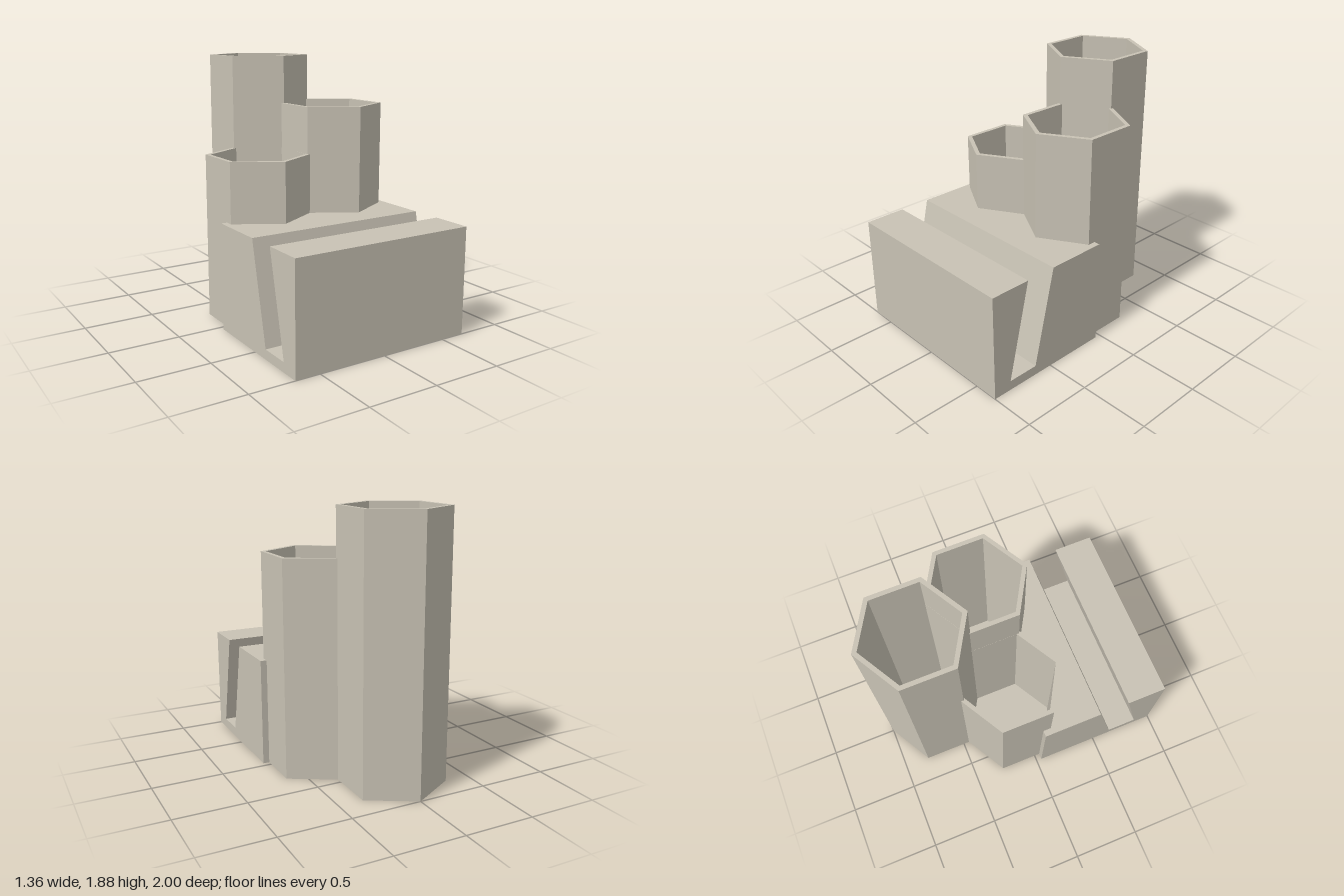
import * as THREE from 'three';

const WALL_R = 0.375;   // outer corner radius of a hexagonal tube
const INNER_R = 0.34;   // inner corner radius
const FLOOR = 0.04;
const BLOCK_H = 0.77;
const HALF_W = 0.68;
const SPLIT_Z = 0.3;    // where the notched rear meets the slotted front

// Six corners of a hexagon pointing along z
function hexPoints(r) {
  return Array.from({ length: 6 }, (_, i) => {
    const a = Math.PI / 2 + i * Math.PI / 3;
    return new THREE.Vector2(r * Math.cos(a), r * Math.sin(a));
  });
}

// Extrudes a plan shape (x, -z) upwards
function extrudeUp(shape, height) {
  return new THREE.ExtrudeGeometry(shape, { depth: height, bevelEnabled: false }).rotateX(-Math.PI / 2);
}

export function createModel() {
  const group = new THREE.Group();
  const stone = new THREE.MeshStandardMaterial({ color: 0xc8c2b4 });
  stone.name = 'warm grey';

  function add(name, geometry, parent = group) {
    const mesh = new THREE.Mesh(geometry, stone);
    mesh.name = name;
    parent.add(mesh);
    return mesh;
  }

  // Hexagonal pen tubes, open at the top
  const tubes = [
    ['tallTube', 0, -0.625, 1.88],
    ['middleTube', 0.31, -0.09, 1.535],
    ['shortTube', -0.31, -0.09, 1.2],
  ];
  for (const [name, x, z, height] of tubes) {
    const tube = new THREE.Group();
    tube.name = name;
    tube.position.set(x, 0, z);
    const wall = new THREE.Shape(hexPoints(WALL_R));
    wall.holes.push(new THREE.Path(hexPoints(INNER_R)));
    add(name + 'Wall', extrudeUp(wall, height), tube);
    add(name + 'Floor', extrudeUp(new THREE.Shape(hexPoints(INNER_R)), FLOOR), tube);
    group.add(tube);
  }

  // Front of the block, with a slanted slot across its full width
  const profile = new THREE.Shape([
    [SPLIT_Z, 0], [1, 0], [1, BLOCK_H], [0.705, BLOCK_H], [0.865, 0.07],
    [0.64, 0.07], [0.48, BLOCK_H], [SPLIT_Z, BLOCK_H],
  ].map(([z, y]) => new THREE.Vector2(z, y)));
  const front = new THREE.ExtrudeGeometry(profile, { depth: HALF_W * 2, bevelEnabled: false });
  add('slottedBlock', front.rotateY(-Math.PI / 2).translate(HALF_W, 0, 0));

  // Rear of the block, notched around the two front tubes
  const half = [[HALF_W, SPLIT_Z], [HALF_W, 0.04], [0.62, 0.04], [0.62, 0.088], [0.31, 0.268], [0, 0.089]];
  const mirrored = half.slice(0, -1).reverse().map(([x, z]) => [-x, z]);
  const plan = new THREE.Shape([...half, ...mirrored].map(([x, z]) => new THREE.Vector2(x, -z)));
  add('notchedBlock', extrudeUp(plan, BLOCK_H));

  return group;
}
